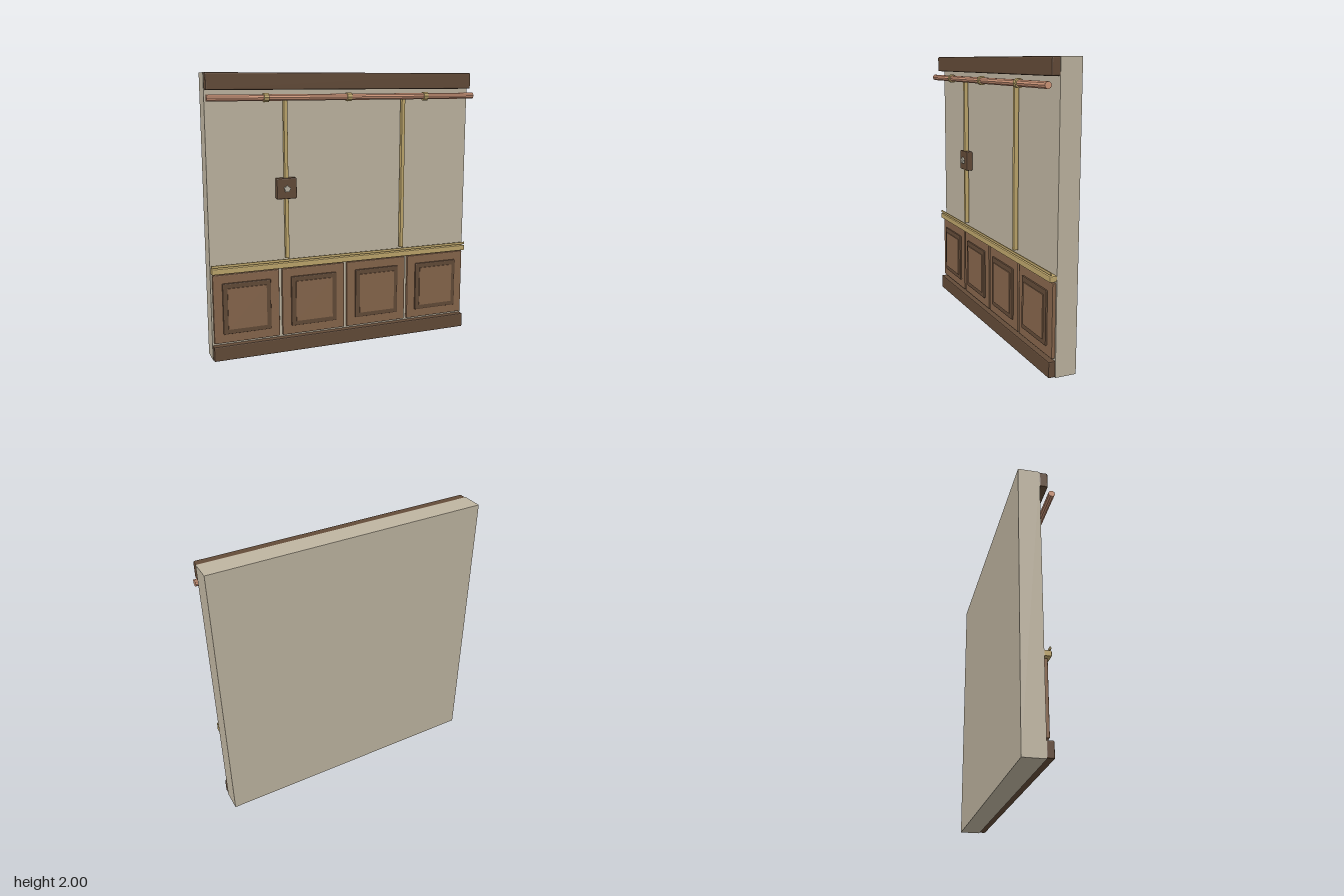
import * as THREE from 'three';
import { RoundedBoxGeometry } from 'three/addons/geometries/RoundedBoxGeometry.js';

const mat = (name, color) => {
  const m = new THREE.MeshStandardMaterial({ color });
  m.name = name;
  return m;
};

export function createModel() {
  const plaster = mat('plaster', 0xbfb5a1);
  const darkWood = mat('darkWood', 0x634b38);
  const panelWood = mat('panelWood', 0x87664c);
  const brass = mat('brass', 0xbfa76c);
  const copper = mat('copper', 0xd0977a);
  const steel = mat('steel', 0xb9b3a4);

  const model = new THREE.Group();
  model.name = 'wallSection';

  const add = (name, geometry, material, x = 0, y = 0, z = 0) => {
    const mesh = new THREE.Mesh(geometry, material);
    mesh.name = name;
    mesh.position.set(x, y, z);
    model.add(mesh);
    return mesh;
  };
  // Box given by its centre x, width, y range and z range, with chamfered edges if c > 0
  const box = (name, material, x, w, y0, y1, z0, z1, c = 0) => {
    const size = [w, y1 - y0, z1 - z0];
    const g = c ? new RoundedBoxGeometry(...size, 1, c) : new THREE.BoxGeometry(...size);
    if (c) g.computeVertexNormals();
    return add(name, g, material, x, (y0 + y1) / 2, (z0 + z1) / 2);
  };
  // Faceted rod lying along x
  const rod = (name, material, x, y, z, r, length, sides) => {
    const g = new THREE.CylinderGeometry(r, r, length, sides).toNonIndexed();
    g.computeVertexNormals();
    g.rotateZ(Math.PI / 2);
    return add(name, g, material, x, y, z);
  };

  // Wall slab
  box('wall', plaster, 0, 2, 0, 2, -0.13, 0.018);

  // Crown, baseboard and chair rail
  box('crownMoulding', darkWood, 0, 1.995, 1.885, 2, 0.015, 0.075, 0.008);
  box('baseboard', darkWood, 0, 1.995, 0.003, 0.112, 0.015, 0.066, 0.008);
  box('chairRail', brass, 0, 1.995, 0.632, 0.672, 0.015, 0.066, 0.006);
  box('chairRailLip', brass, 0, 1.995, 0.68, 0.697, 0.054, 0.062);

  // Wainscot panels with stepped raised centres
  for (const x of [-0.75, -0.25, 0.25, 0.75]) {
    box('panel', panelWood, x, 0.478, 0.125, 0.622, 0.015, 0.042, 0.006);
    box('panelFrame', darkWood, x, 0.348, 0.19, 0.56, 0.03, 0.054, 0.006);
    box('panelCentre', panelWood, x, 0.28, 0.226, 0.524, 0.04, 0.06);
  }

  // Vertical trim strips
  for (const x of [-0.45, 0.45]) {
    box('verticalTrim', brass, x, 0.027, 0.703, 1.828, 0.027, 0.06, 0.004);
  }

  // Pipe and its clamps
  rod('pipe', copper, 0, 1.834, 0.098, 0.023, 2, 10);
  for (const x of [-0.6, 0, 0.6]) rod('pipeClamp', brass, x, 1.834, 0.098, 0.032, 0.034, 10);

  // Switch box with a small star-shaped knob
  box('switchBox', darkWood, -0.45, 0.146, 1.13, 1.278, 0.018, 0.066, 0.008);
  const star = new THREE.Shape();
  for (let i = 0; i < 10; i++) {
    const r = i % 2 ? 0.019 : 0.027;
    const a = Math.PI / 2 + (i * Math.PI) / 5;
    star[i ? 'lineTo' : 'moveTo'](r * Math.cos(a), r * Math.sin(a));
  }
  star.closePath();
  add('switchKnob', new THREE.ExtrudeGeometry(star, { depth: 0.02, bevelEnabled: false }),
    steel, -0.45, 1.203, 0.06);

  return model;
}
